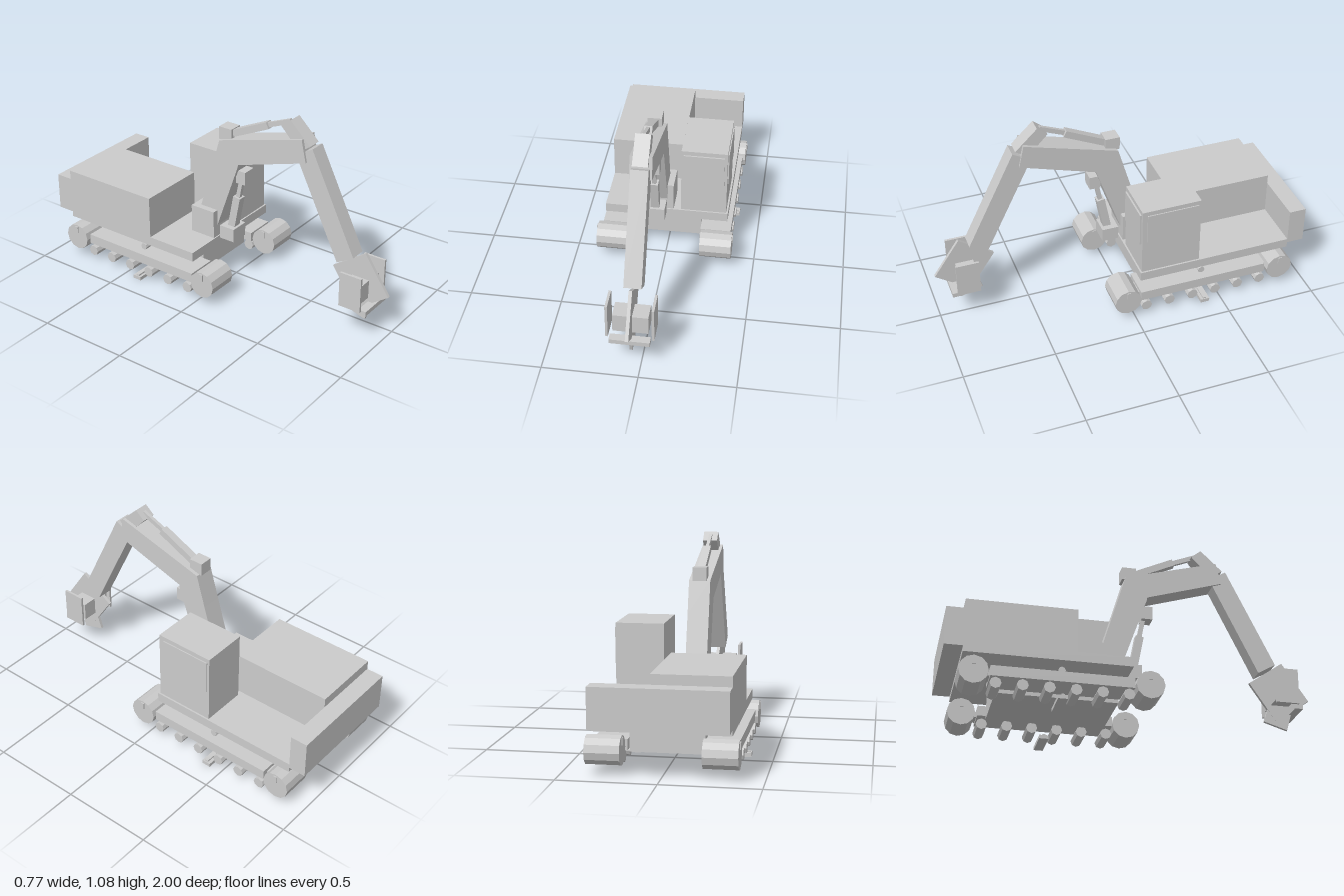
import * as THREE from 'three';

export function createModel() {
  const group = new THREE.Group();
  const mat = new THREE.MeshStandardMaterial({ color: 0xcccccc, flatShading: true });

  const add = (name, geo) => {
    const mesh = new THREE.Mesh(geo, mat);
    mesh.name = name;
    group.add(mesh);
    return mesh;
  };
  // Axis-aligned block from its limits
  const box = (name, x0, x1, y0, y1, z0, z1) =>
    add(name, new THREE.BoxGeometry(x1 - x0, y1 - y0, z1 - z0))
      .position.set((x0 + x1) / 2, (y0 + y1) / 2, (z0 + z1) / 2);
  // Side outline of [z, y] points extruded from x0 to x1
  const prism = (name, x0, x1, pts) => {
    const shape = new THREE.Shape(pts.map(([z, y]) => new THREE.Vector2(-z, y)));
    const geo = new THREE.ExtrudeGeometry(shape, { depth: x1 - x0, bevelEnabled: false });
    add(name, geo.rotateY(Math.PI / 2).translate(x0, 0, 0));
  };
  // Square bar between two [z, y] points
  const bar = (name, x, width, thick, [z0, y0], [z1, y1]) => {
    const dz = z1 - z0, dy = y1 - y0;
    const mesh = add(name, new THREE.BoxGeometry(width, thick, Math.hypot(dz, dy)));
    mesh.position.set(x, (y0 + y1) / 2, (z0 + z1) / 2);
    mesh.rotation.x = -Math.atan2(dy, dz);
  };
  // Cylinder lying across the machine
  const roller = (name, x, y, z, r, width, sides) =>
    add(name, new THREE.CylinderGeometry(r, r, width, sides).rotateZ(Math.PI / 2))
      .position.set(x, y, z);

  // Undercarriage
  box('chassis', -0.19, 0.19, 0.08, 0.2, -0.72, -0.085);
  for (const s of [-1, 1]) {
    const span = (name, a, b, ...rest) => box(name, Math.min(s * a, s * b), Math.max(s * a, s * b), ...rest);
    span('trackFrame', 0.19, 0.36, 0.1, 0.155, -0.765, -0.035);
    span('axleFork', 0.24, 0.33, 0.11, 0.137, -0.82, 0.02);
    for (const z of [0.043, -0.85]) {
      roller('trackWheel', s * 0.2875, 0.12, z, 0.075, 0.175, 12);
      span('wheelKey', 0.195, 0.381, 0.147, 0.185, z - 0.01, z + 0.01);
    }
    for (let i = 0; i < 6; i++)
      roller('trackRoller', s * 0.2875, 0.062, -0.066 - i * 0.1345, 0.03, 0.157, 8);
    roller('carrierRoller', s * 0.288, 0.18, -0.402, 0.019, 0.06, 8);
    span('trackShoe', 0.192, 0.383, 0, 0.02, -0.43, -0.38);
    span('shoeRib', 0.198, 0.377, 0.02, 0.028, -0.412, -0.395);
  }

  // Upper structure
  add('swingBearing', new THREE.CylinderGeometry(0.16, 0.16, 0.03, 16)).position.set(0, 0.21, -0.402);
  box('deck', -0.345, 0.34, 0.223, 0.275, -0.905, -0.038);
  box('engineHouse', -0.345, 0.05, 0.275, 0.512, -0.905, -0.33);
  box('counterweight', -0.345, 0.34, 0.253, 0.46, -1, -0.905);
  box('cab', 0.078, 0.33, 0.275, 0.67, -0.378, -0.047);
  box('frontWindow', 0.091, 0.315, 0.455, 0.645, -0.047, -0.038);
  box('sideWindow', 0.33, 0.336, 0.455, 0.645, -0.365, -0.075);

  // Boom and its mount
  box('boomMount', -0.147, 0.037, 0.275, 0.433, -0.195, -0.045);
  prism('boom', -0.112, 0.003, [
    [0.485, 1.0], [0.512, 0.877], [0.092, 0.745], [0.088, 0.725],
    [-0.06, 0.3], [-0.165, 0.4], [-0.083, 0.674], [-0.03, 0.855]]);

  // Stick and its lever
  prism('stick', -0.1, -0.008, [[0.543, 0.958], [0.807, 0.42], [0.71, 0.364], [0.445, 0.905]]);
  prism('stickLever', -0.095, -0.015, [[0.525, 0.965], [0.405, 1.08], [0.35, 1.035], [0.46, 0.92]]);

  // Stick ram on top of the boom
  box('stickRamMount', -0.093, -0.017, 0.853, 0.925, -0.045, 0.035);
  bar('stickRamBarrel', -0.055, 0.042, 0.038, [0.02, 0.892], [0.25, 1.0]);
  bar('stickRamRod', -0.055, 0.018, 0.026, [0.24, 0.997], [0.385, 1.056]);

  // Boom ram in front of the boom
  box('boomRamMount', -0.108, 0, 0.265, 0.342, -0.032, 0.06);
  bar('boomRamBarrel', -0.055, 0.046, 0.044, [0.02, 0.33], [0.057, 0.525]);
  bar('boomRamRod', -0.055, 0.022, 0.024, [0.055, 0.515], [0.08, 0.64]);
  box('boomRamHead', -0.093, -0.017, 0.625, 0.7, 0.065, 0.125);

  // Bucket
  box('bucketBody', -0.147, 0.037, 0.197, 0.3, 0.785, 0.885);
  box('bucketLip', -0.16, 0.05, 0.15, 0.175, 0.885, 0.93);
  for (const x of [-0.18, 0.057]) box('bucketSide', x, x + 0.013, 0.172, 0.368, 0.778, 0.905);
  prism('bucketBlade', -0.064, -0.046, [[1.0, 0.238], [0.857, 0.448], [0.668, 0.315], [0.81, 0.105]]);
  prism('bucketTooth', -0.063, -0.047, [[0.9, 0.165], [0.87, 0.06], [0.742, 0.1], [0.775, 0.2]]);

  return group;
}
